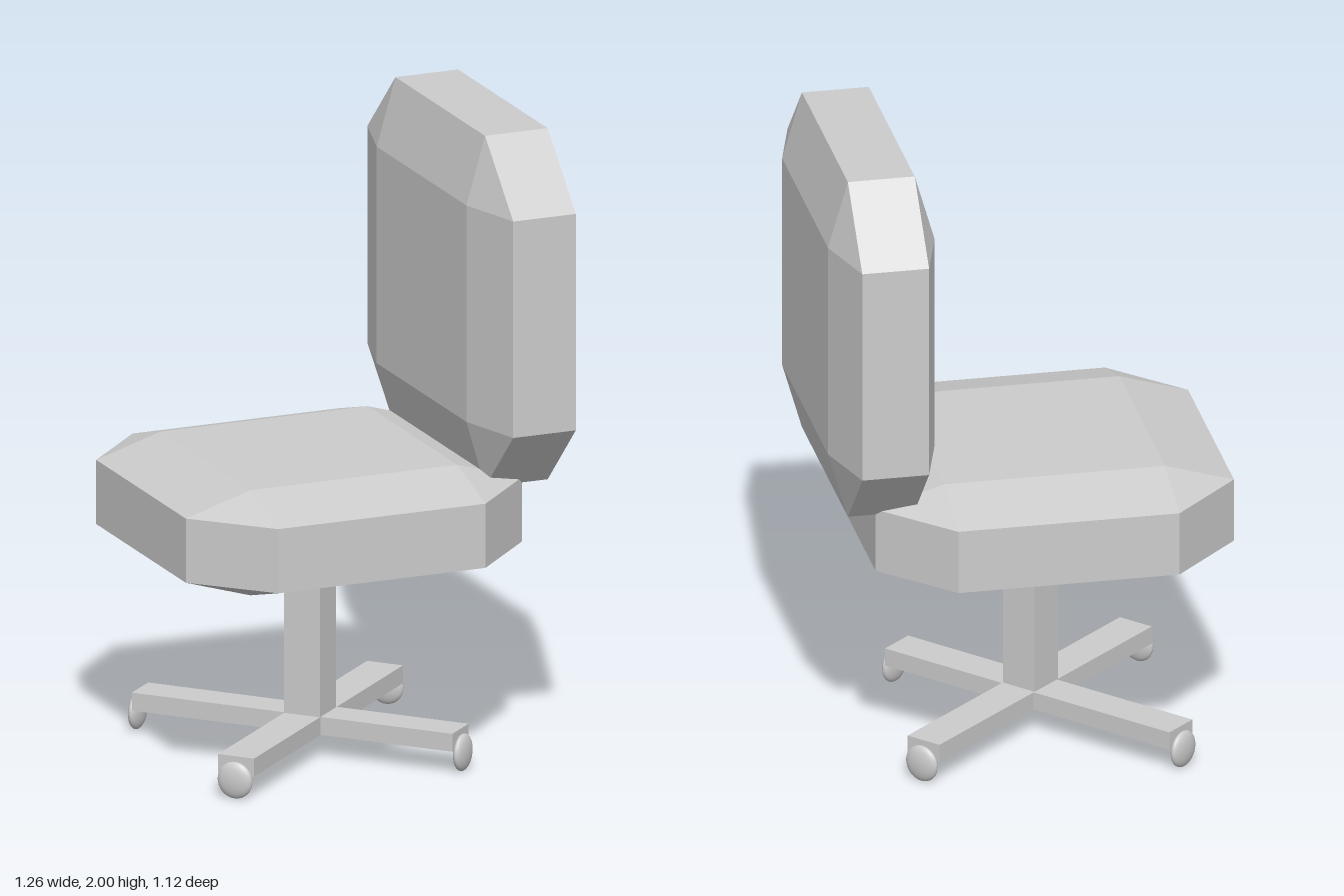
import * as THREE from 'three';
import { ConvexGeometry } from 'three/addons/geometries/ConvexGeometry.js';

const material = new THREE.MeshStandardMaterial({ color: 0xcccccc });
const flatMaterial = new THREE.MeshStandardMaterial({ color: 0xcccccc, flatShading: true });

function add(group, name, geometry, position, mat = flatMaterial) {
  const mesh = new THREE.Mesh(geometry, mat);
  mesh.name = name;
  mesh.position.set(...position);
  group.add(mesh);
  return mesh;
}

// Box with six faces of half size "inner" pushed out to half size "outer", all edges bevelled
function cushionGeometry(outer, inner) {
  const points = [];
  for (const sx of [-1, 1]) for (const sy of [-1, 1]) for (const sz of [-1, 1]) {
    for (let axis = 0; axis < 3; axis++) {
      const half = inner.map((v, i) => (i === axis ? outer[i] : v));
      points.push(new THREE.Vector3(sx * half[0], sy * half[1], sz * half[2]));
    }
  }
  return new ConvexGeometry(points);
}

export function createModel() {
  const chair = new THREE.Group();
  chair.name = 'officeChair';

  // Cushions
  add(chair, 'seat', cushionGeometry([0.558, 0.167, 0.56], [0.344, 0.102, 0.344]), [-0.075, 0.798, 0]);
  add(chair, 'backrest', cushionGeometry([0.166, 0.558, 0.56], [0.104, 0.344, 0.344]), [0.465, 1.442, 0]);

  // Two crossing floor beams with a flattened caster at each end
  const beams = [
    [[-0.475, 0.365], [0.34, -0.375]],
    [[0.27, 0.365], [-0.45, -0.43]],
  ];
  let angle = 0;
  beams.forEach(([a, b], i) => {
    const dx = b[0] - a[0], dz = b[1] - a[1];
    const length = Math.hypot(dx, dz);
    angle = -Math.atan2(dz, dx);
    const beam = add(chair, `baseBeam${i + 1}`, new THREE.BoxGeometry(length, 0.057, 0.12),
      [(a[0] + b[0]) / 2, 0.103, (a[1] + b[1]) / 2]);
    beam.rotation.y = angle;
    [[a, -1], [b, 1]].forEach(([end, sign], j) => {
      const out = 0.008 * sign / length;
      const caster = add(chair, `caster${i * 2 + j + 1}`, new THREE.SphereGeometry(0.058, 24, 16),
        [end[0] + dx * out, 0.058, end[1] + dz * out], material);
      caster.scale.x = 0.35;
      caster.rotation.y = angle;
    });
  });

  // Square post, aligned with the beams
  const post = add(chair, 'post', new THREE.BoxGeometry(0.12, 0.56, 0.12), [-0.07, 0.38, -0.003]);
  post.rotation.y = angle;

  return chair;
}
